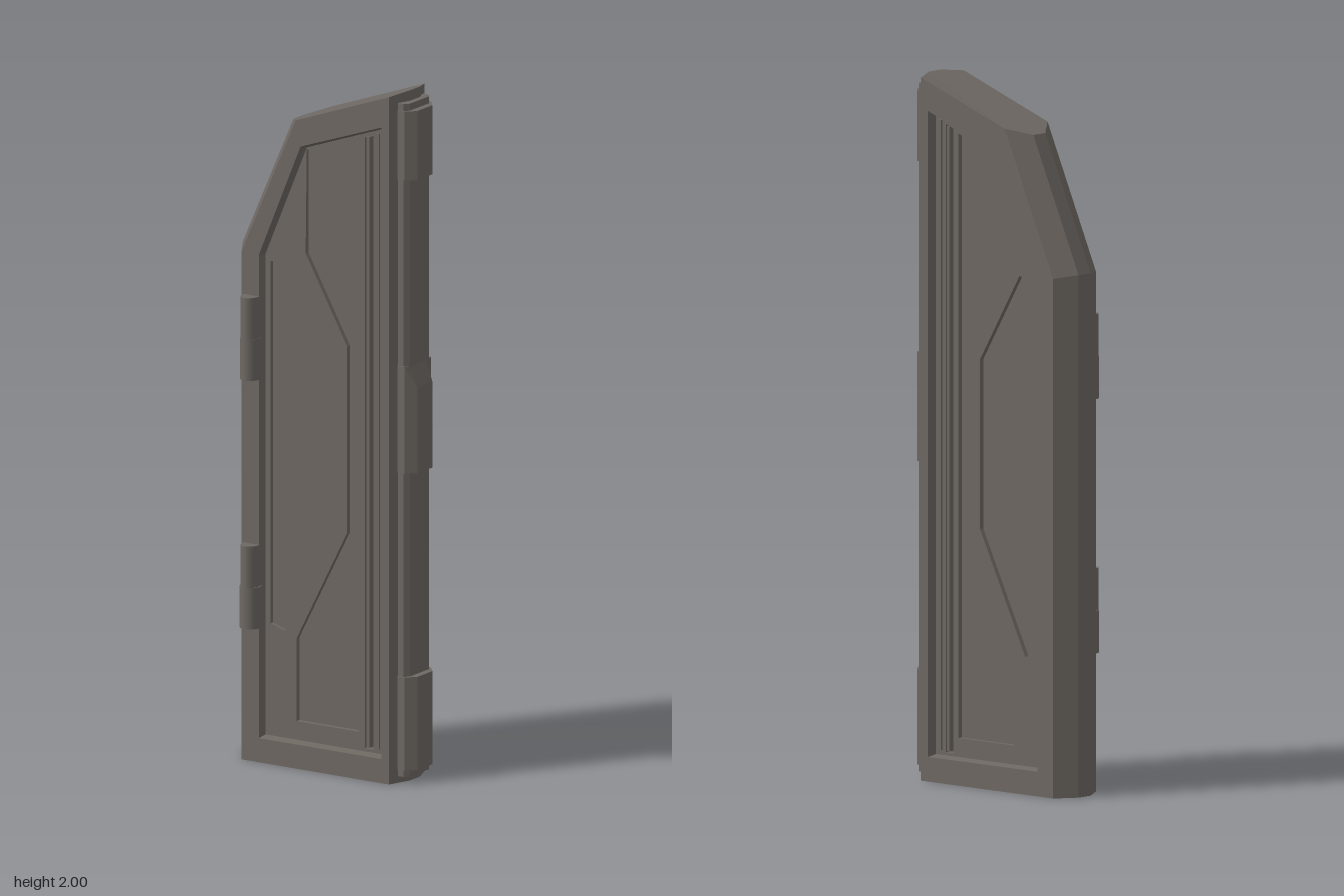
import * as THREE from 'three';

const gunmetal = new THREE.MeshStandardMaterial({ color: 0x6e6863 });
gunmetal.name = 'gunmetal';
gunmetal.flatShading = true;
const smoothMetal = gunmetal.clone();
smoothMetal.flatShading = false;

const shapeOf = (pts) => new THREE.Shape(pts.map(([x, y]) => new THREE.Vector2(x, y)));

// Outlines, counter-clockwise from bottom left
const RIM = [[-0.3, 0], [0.262, 0], [0.262, 2], [-0.13, 1.86], [-0.3, 1.48]];
const FACE = [[-0.258, 0], [0.238, 0], [0.238, 1.992], [-0.076, 1.879], [-0.258, 1.472]];
const INNER = [[-0.2, 0.07], [0.212, 0.07], [0.212, 1.9], [-0.06, 1.805], [-0.2, 1.47]];
const RECESS = [[-0.195, 0.076], [0.206, 0.076], [0.206, 1.89], [-0.056, 1.797], [-0.195, 1.468]];
const HEX = [[-0.178, 0.4], [-0.13, 0.385], [0.04, 0.73], [0.04, 1.21], [-0.108, 1.462], [-0.178, 1.45]];
const SIDE_PANEL = [[-0.09, 0.13], [0.12, 0.13], [0.12, 1.842], [-0.06, 1.79],
  [-0.06, 1.49], [0.08, 1.24], [0.08, 0.7], [-0.09, 0.37]];
const GROOVE = [[0.14, 0.085], [0.168, 0.085], [0.168, 1.865], [0.14, 1.855]];

// Faceted band joining successive outlines, from front to back
function loft(rings) {
  const pos = [];
  for (let i = 0; i < rings.length - 1; i++) {
    const [r0, z0] = rings[i], [r1, z1] = rings[i + 1];
    for (let j = 0; j < r0.length; j++) {
      const k = (j + 1) % r0.length;
      const a = [...r0[j], z0], b = [...r0[k], z0], c = [...r1[k], z1], d = [...r1[j], z1];
      pos.push(...a, ...d, ...c, ...a, ...c, ...b);
    }
  }
  const g = new THREE.BufferGeometry();
  g.setAttribute('position', new THREE.Float32BufferAttribute(pos, 3));
  g.computeVertexNormals();
  return g;
}

function slab(outline, holes, z0, z1) {
  const s = shapeOf(outline);
  s.holes = holes.map((h) => shapeOf(h));
  return new THREE.ExtrudeGeometry(s, { depth: z1 - z0, bevelEnabled: false }).translate(0, 0, z0);
}

// Upright bar from an [x, z] profile; the top can be pulled in to a smaller x
function bar(profile, y0, y1, topX = 1) {
  const s = shapeOf(profile.map(([x, z]) => [x, -z]));
  const g = new THREE.ExtrudeGeometry(s, { depth: y1 - y0, bevelEnabled: false });
  g.rotateX(-Math.PI / 2).translate(0, y0, 0);
  const p = g.attributes.position;
  for (let i = 0; i < p.count; i++) {
    if (p.getY(i) > y1 - 0.001) p.setX(i, Math.min(p.getX(i), topX));
  }
  g.computeVertexNormals();
  return g;
}

export function createModel() {
  const door = new THREE.Group();
  door.name = 'door';
  const add = (name, geometry, material = gunmetal) => {
    const m = new THREE.Mesh(geometry, material);
    m.name = name;
    door.add(m);
    return m;
  };

  // Bevelled outer frame
  add('frame', loft([[RECESS, 0.038], [INNER, 0.07], [FACE, 0.07], [RIM, 0],
    [RIM, -0.05], [FACE, -0.11], [INNER, -0.11], [RECESS, -0.078]]));

  // Panel layers: deep core, and raised layer with cut-outs
  add('corePanel', slab(INNER, [], -0.07, 0.03));
  add('raisedPanel', slab(RECESS, [HEX, SIDE_PANEL, GROOVE], -0.084, 0.044));

  // Slim ribs beside the groove, on both sides
  for (const [x, top] of [[0.154, 1.86], [0.186, 1.875]]) {
    add('verticalRib', new THREE.BoxGeometry(0.01, top - 0.09, 0.14)
      .translate(x, (top + 0.09) / 2, -0.02));
  }

  // Latch edge strip
  add('edgeStrip', bar([[0.25, 0.042], [0.268, 0.042], [0.28, 0.028],
    [0.28, -0.068], [0.268, -0.085], [0.25, -0.085]], 0.02, 1.97));

  // Clasps along the latch edge
  const clasp = [[0.25, 0.046], [0.274, 0.046], [0.3, 0.02],
    [0.3, -0.056], [0.274, -0.088], [0.25, -0.088]];
  for (const [y0, y1] of [[0.04, 0.31], [0.9, 1.15], [1.75, 1.95]]) {
    add('clasp', bar(clasp, y0, y1));
  }
  add('claspTaper', bar(clasp, 1.15, 1.21, 0.279));

  // Hinge barrels on the front
  const barrel = (y0, y1, r) => {
    add('hingeBarrel', new THREE.CylinderGeometry(r, r, y1 - y0, 20)
      .scale(1, 1, 0.037 / r).translate(-0.225, (y0 + y1) / 2, 0.07), smoothMetal);
  };
  barrel(0.39, 0.51, 0.031);
  barrel(0.51, 0.63, 0.027);
  barrel(1.11, 1.23, 0.029);
  barrel(1.23, 1.35, 0.027);

  return door;
}
